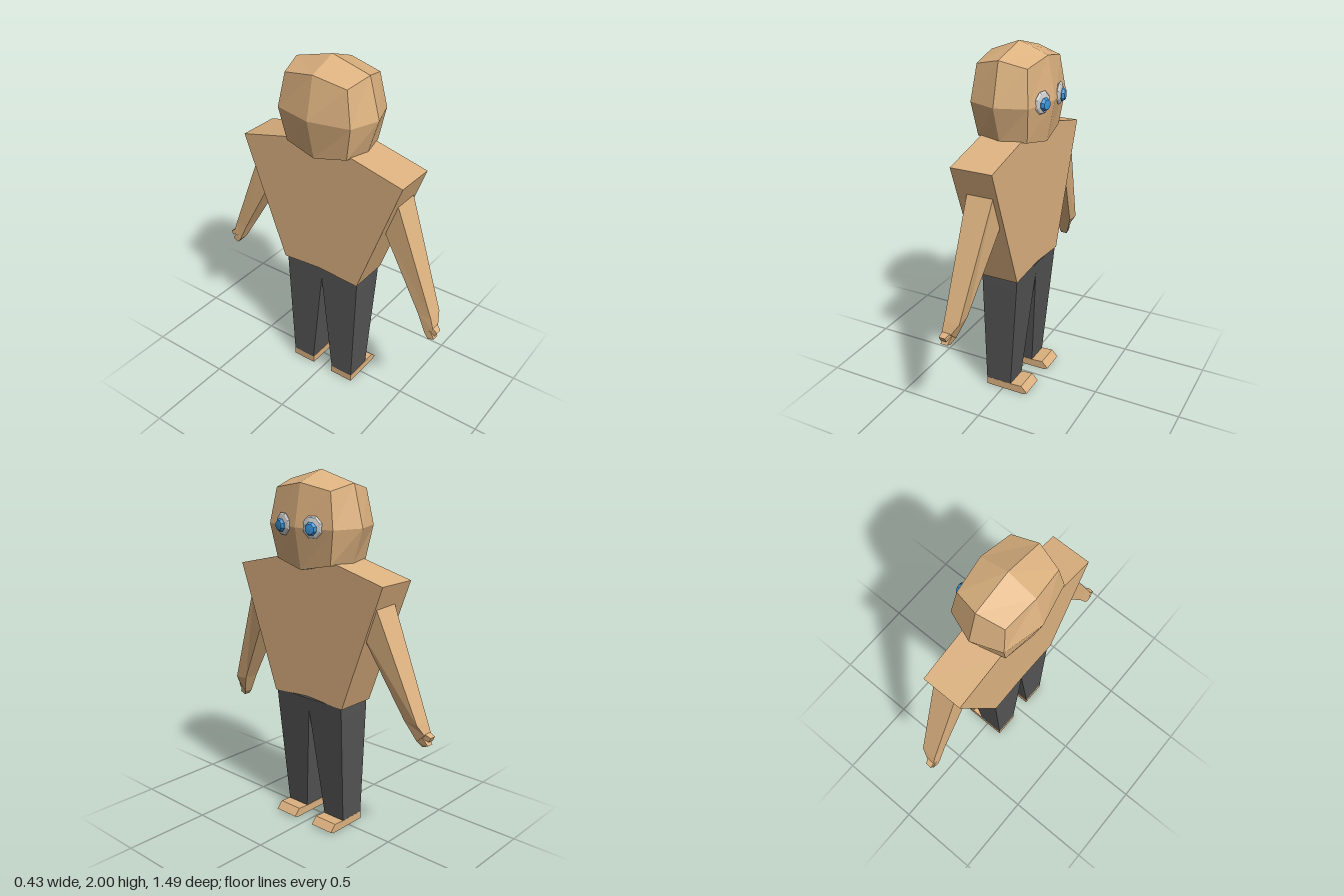
import * as THREE from 'three';

const flat = (color) => new THREE.MeshStandardMaterial({ color, flatShading: true });
const skin = flat(0xddb280);
const cloth = flat(0x555555);
const eyeWhite = flat(0xcccccc);
const blue = flat(0x3a96dc);

function part(name, geometry, material) {
  const mesh = new THREE.Mesh(geometry, material);
  mesh.name = name;
  return mesh;
}

// Four-sided limb, top to bottom. Each section: x range, then outer and inner edge as [z, y].
// side -1 mirrors it across z = 0.
function limb(sections, side) {
  const rings = sections.map(([x0, x1, [zo, yo], [zi, yi]]) => {
    const ring = [[x0, yo, zo * side], [x1, yo, zo * side], [x1, yi, zi * side], [x0, yi, zi * side]];
    return side > 0 ? ring : ring.reverse();
  });
  const pos = [];
  const quad = (a, b, c, d) => pos.push(...a, ...b, ...c, ...a, ...c, ...d);
  for (let r = 0; r + 1 < rings.length; r++) {
    const a = rings[r], b = rings[r + 1];
    for (let i = 0; i < 4; i++) {
      const j = (i + 1) % 4;
      quad(a[i], b[i], b[j], a[j]);
    }
  }
  quad(...rings[0]);
  quad(...rings[rings.length - 1].slice().reverse());
  const g = new THREE.BufferGeometry();
  g.setAttribute('position', new THREE.Float32BufferAttribute(pos, 3));
  g.computeVertexNormals();
  return g;
}

// Prism from an outline
function prism(points, depth) {
  const shape = new THREE.Shape(points.map(([x, y]) => new THREE.Vector2(x, y)));
  return new THREE.ExtrudeGeometry(shape, { depth, bevelEnabled: false });
}

// Head: a box of 2 x 2 x 2 segments, swollen towards edge middles and face centres
function headGeometry() {
  const g = new THREE.BoxGeometry(2, 2, 2, 2, 2, 2);
  const p = g.attributes.position;
  const reachX = [0, 0.142, 0.163, 0.205];
  const reachZ = [0, 0.19, 0.225, 0.285];
  const reachUp = [0, 1.905, 1.94, 2.0];
  for (let i = 0; i < p.count; i++) {
    const x = Math.round(p.getX(i)), y = Math.round(p.getY(i)), z = Math.round(p.getZ(i));
    const kind = 4 - (Math.abs(x) + Math.abs(y) + Math.abs(z)); // 1 corner, 2 edge, 3 face
    let h = 1.715;
    if (y > 0) h = reachUp[kind];
    if (y < 0) h = z !== 0 ? 1.528 : x !== 0 ? 1.488 : 1.472;
    p.setXYZ(i, x * reachX[kind] - (x < 0 && kind === 3 ? 0.01 : 0), h, z * reachZ[kind]);
  }
  g.computeVertexNormals();
  return g;
}

function createEye(side) {
  const eye = new THREE.Group();
  eye.name = side < 0 ? 'leftEye' : 'rightEye';
  const white = part('eyeWhite', new THREE.SphereGeometry(1, 8, 6), eyeWhite);
  white.geometry.rotateX(Math.PI / 2).rotateZ(Math.PI / 8).rotateY(Math.PI / 2);
  white.scale.set(0.017, 0.062, 0.062);
  // Iris: a stubby drum with bevelled rim
  const profile = [[0, -0.015], [0.03, -0.015], [0.036, 0], [0.027, 0.015], [0, 0.017]];
  const iris = part('iris', new THREE.LatheGeometry(profile.map(([r, h]) => new THREE.Vector2(r, h)), 8), blue);
  iris.geometry.rotateY(Math.PI / 8).rotateZ(-Math.PI / 2);
  iris.position.set(0.017, -0.006, 0);
  eye.add(white, iris);
  eye.position.set(0.183, 1.723, side * 0.104);
  eye.rotation.y = -side * 0.2;
  return eye;
}

function createArm(side) {
  const arm = new THREE.Group();
  arm.name = side < 0 ? 'leftArm' : 'rightArm';
  // Upper arm, wrist and palm
  arm.add(part('armAndPalm', limb([
    [-0.06, 0.095, [0.43, 1.375], [0.36, 1.17]],
    [-0.07, 0.02, [0.697, 0.705], [0.615, 0.71]],
    [-0.075, -0.02, [0.717, 0.645], [0.668, 0.60]],
  ], side), skin));
  // Short fingers, one behind the other
  arm.add(part('upperFinger', limb([
    [-0.073, -0.026, [0.716, 0.65], [0.698, 0.625]],
    [-0.075, -0.04, [0.743, 0.632], [0.731, 0.607]],
  ], side), skin));
  arm.add(part('lowerFinger', limb([
    [-0.075, -0.022, [0.702, 0.63], [0.668, 0.60]],
    [-0.077, -0.038, [0.728, 0.584], [0.692, 0.57]],
  ], side), skin));
  // The left arm is held slightly higher and further forward
  if (side < 0) {
    arm.rotation.y = -0.045;
    arm.position.set(-0.005, 0.055, 0);
  }
  return arm;
}

function createLeg(side) {
  const leg = new THREE.Group();
  leg.name = side < 0 ? 'leftLeg' : 'rightLeg';
  leg.add(part('trouserLeg', limb([
    [-0.105, 0.11, [0.242, 0.755], [0, 0.755]],
    [-0.105, 0.105, [0.24, 0.69], [0, 0.69]],
    [-0.105, 0.05, [0.212, 0.043], [0.07, 0.043]],
  ], side), cloth));
  // Flat foot with a sloping toe
  const outline = [[-0.105, 0], [0.135, 0], [0.157, 0.012], [0.12, 0.05], [0.05, 0.045], [-0.105, 0.045]];
  const foot = part('foot', prism(outline, 0.146), skin);
  foot.position.z = side * 0.14 - 0.073;
  leg.add(foot);
  return leg;
}

export function createModel() {
  const model = new THREE.Group();
  model.name = 'figure';

  model.add(part('head', headGeometry(), skin));

  // Torso: broad shoulders tapering to the waist, outline runs along z
  const torso = part('torso', prism([
    [-0.25, 0.75], [0, 0.768], [0.25, 0.75], [0.51, 1.46], [0.22, 1.53], [0, 1.575], [-0.22, 1.53], [-0.51, 1.46],
  ], 0.235), skin);
  torso.rotation.y = -Math.PI / 2;
  torso.position.x = 0.115;
  model.add(torso);

  for (const side of [-1, 1]) model.add(createEye(side), createArm(side), createLeg(side));
  return model;
}
